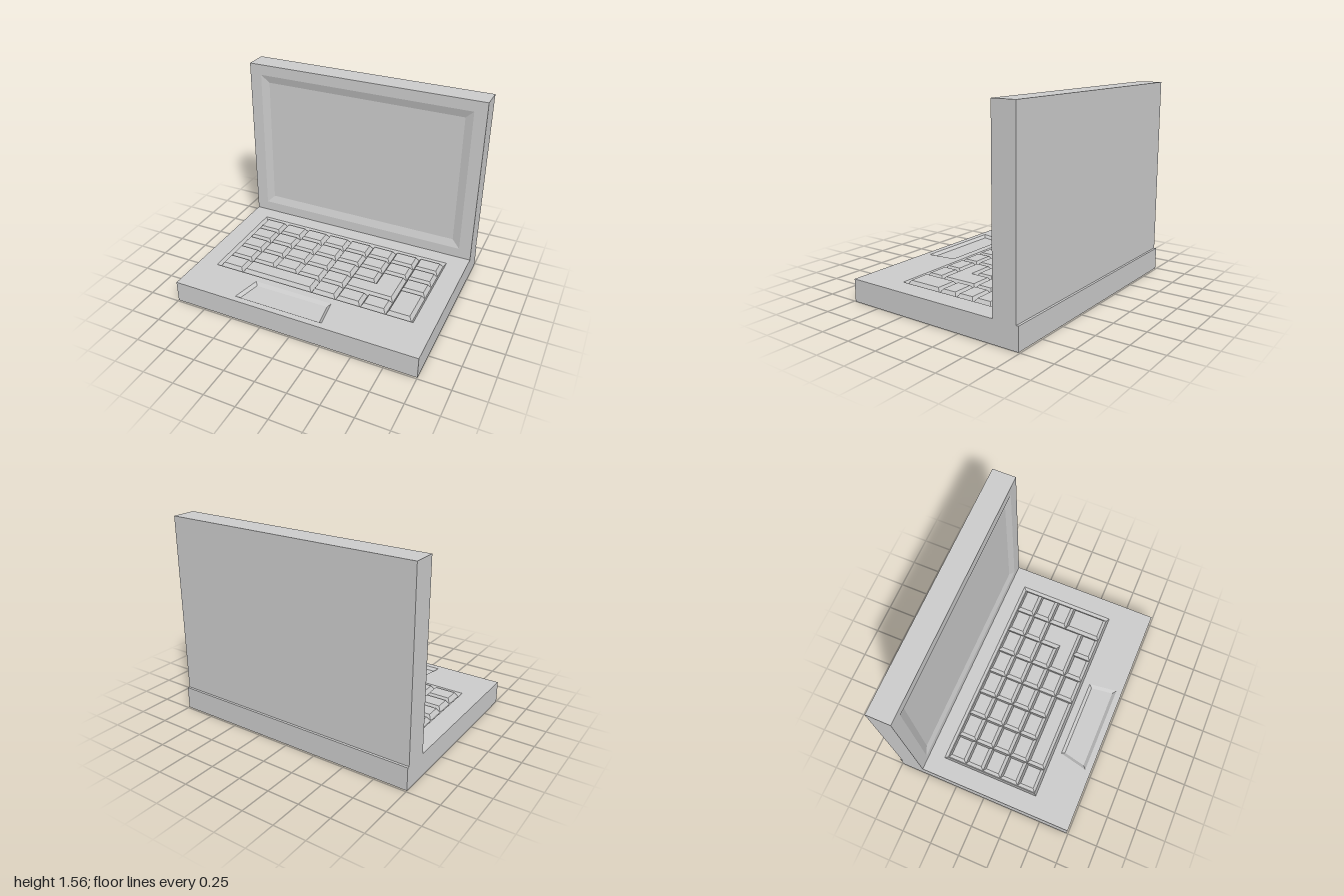
import * as THREE from 'three';

const material = new THREE.MeshStandardMaterial({ color: 0xcccccc, flatShading: true });

// Outlines are plan points (x, -z), counter-clockwise seen from above.
const plan = (pairs) => pairs.map(([x, z]) => new THREE.Vector2(x, -z));
const rect = (x0, x1, z0, z1) => plan([[x0, z1], [x1, z1], [x1, z0], [x0, z0]]);

// Shrinks an outline by d with mitred corners.
function inset(points, d) {
  const n = points.length;
  const normal = (a, b) => {
    const e = b.clone().sub(a).normalize();
    return new THREE.Vector2(-e.y, e.x);
  };
  return points.map((p, i) => {
    const n1 = normal(points[(i + n - 1) % n], p);
    const n2 = normal(p, points[(i + 1) % n]);
    const k = d / (1 + n1.dot(n2));
    return p.clone().add(n1.add(n2).multiplyScalar(k));
  });
}

// Sloped walls from an outline at y0 to its inset at y1, closed by a flat cap:
// a raised key when y1 > y0, a sunken tray when y1 < y0.
function bevelled(name, outline, y0, y1, bevel) {
  const top = inset(outline, bevel);
  const pos = [];
  const put = (p, y) => pos.push(p.x, y, -p.y);
  outline.forEach((a, i) => {
    const j = (i + 1) % outline.length;
    put(a, y0); put(outline[j], y0); put(top[j], y1);
    put(a, y0); put(top[j], y1); put(top[i], y1);
  });
  for (const face of THREE.ShapeUtils.triangulateShape(top, [])) {
    for (const i of face) put(top[i], y1);
  }
  const g = new THREE.BufferGeometry();
  g.setAttribute('position', new THREE.Float32BufferAttribute(pos, 3));
  g.computeVertexNormals();
  return named(name, g);
}

function named(name, geometry) {
  const mesh = new THREE.Mesh(geometry, material);
  mesh.name = name;
  return mesh;
}

// A slab from y = 0 to height whose top face is cut open for its recesses.
function slab(name, width, height, depth, recesses) {
  const group = new THREE.Group();
  group.name = name;
  const box = new THREE.BoxGeometry(width, height, depth).translate(0, height / 2, 0);
  box.setIndex([...box.index.array].filter((_, i) => i < 12 || i >= 18)); // drop the top
  const shape = new THREE.Shape(rect(-width / 2, width / 2, -depth / 2, depth / 2));
  for (const r of recesses) {
    shape.holes.push(new THREE.Path(r.outline));
    group.add(bevelled(r.name, r.outline, height, height - r.sink, r.bevel));
  }
  const face = new THREE.ShapeGeometry(shape).rotateX(-Math.PI / 2).translate(0, height, 0);
  group.add(named(name + 'Body', box), named(name + 'Face', face));
  return group;
}

export function createModel() {
  const model = new THREE.Group();
  model.name = 'laptop';
  const baseTop = 0.175;
  const floor = 0.15;

  // Base with keyboard well and touchpad
  model.add(slab('base', 2, baseTop, 1.476, [
    { name: 'keyboardWell', outline: rect(-0.845, 0.84, -0.41, 0.4), sink: baseTop - floor, bevel: 0.02 },
    {
      name: 'touchpad',
      outline: plan([[-0.49, 0.69], [0.24, 0.69], [0.21, 0.46], [-0.44, 0.46]]),
      sink: 0.02, bevel: 0.025,
    },
  ]));

  // Upright lid with sunken screen, built lying flat
  const lid = slab('lid', 2, 0.185, 1.385, [
    { name: 'screen', outline: rect(-0.9, 0.9, -0.605, 0.61), sink: 0.02, bevel: 0.065 },
  ]);
  lid.rotation.x = Math.PI / 2;
  lid.position.set(0, baseTop + 1.385 / 2, -0.72);
  model.add(lid);

  // Keys on a grid of eight columns and five rows
  const keys = new THREE.Group();
  keys.name = 'keys';
  const col = (c) => -0.82 + c * 0.205;
  const row = (r) => -0.385 + r * 0.153;
  const addKey = (name, outline) => keys.add(bevelled(name, outline, floor, 0.186, 0.022));
  const cell = (name, c0, c1, r0, r1) => addKey(name, rect(col(c0), col(c1), row(r0), row(r1)));
  const singles = [
    [0, 1, 2, 3, 4, 5, 6, 7],
    [0, 1, 2, 3, 4, 5, 6, 7],
    [0, 1, 2, 3, 4, 5, 7],
    [0, 1, 2, 3, 4],
    [0, 4, 5, 6],
  ];
  singles.forEach((cols, r) => cols.forEach((c) => cell('key', c, c + 1, r, r + 1)));
  cell('spaceBar', 1, 4, 4, 5);
  cell('tallKey', 7, 8, 3, 5);
  addKey('cornerKey', plan([
    [col(5), row(4)], [col(7), row(4)], [col(7), row(2)],
    [col(6), row(2)], [col(6), row(3)], [col(5), row(3)],
  ]));
  model.add(keys);
  return model;
}
